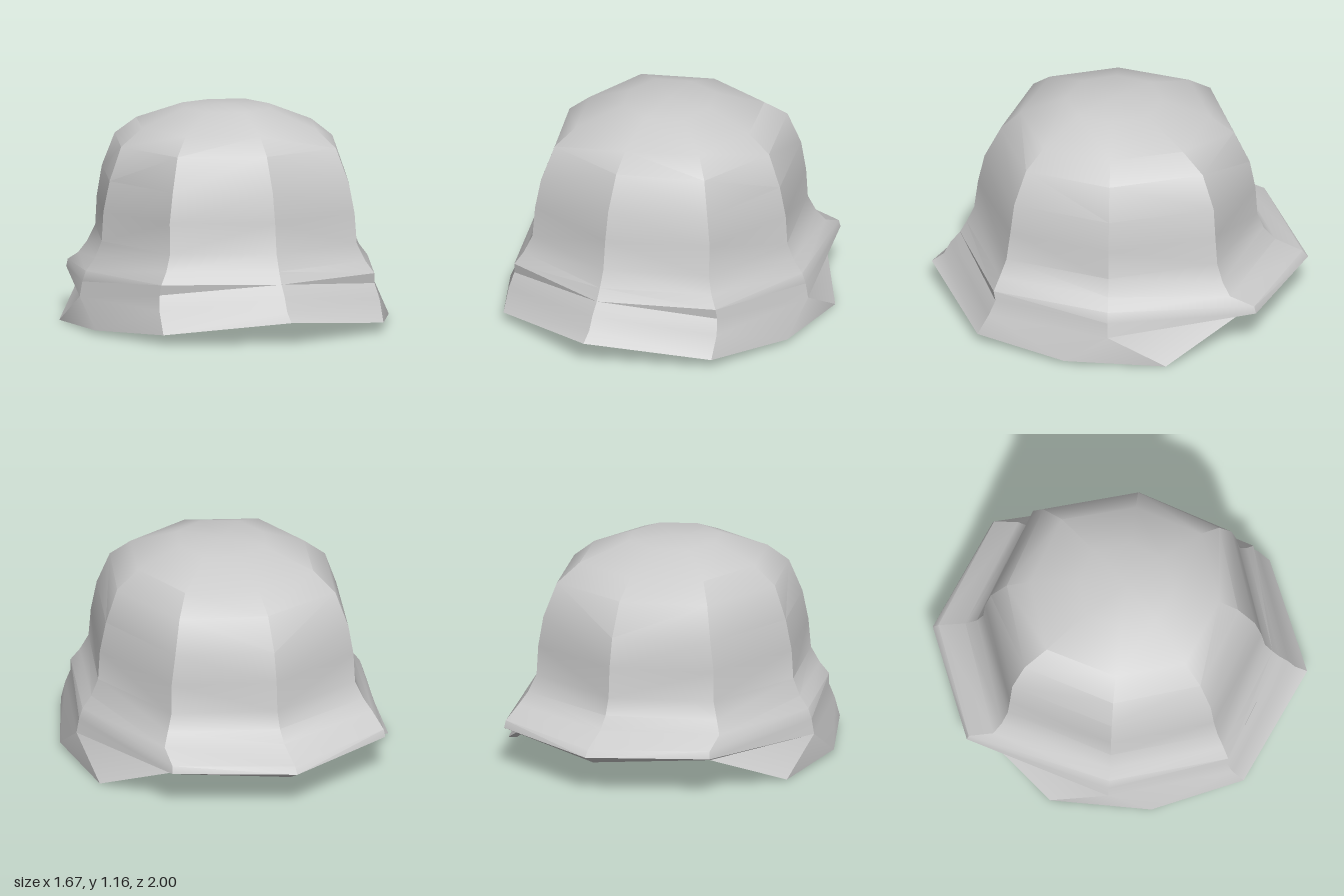
import * as THREE from 'three';
import { toCreasedNormals } from 'three/addons/utils/BufferGeometryUtils.js';

const WALL = 0.045;
// Shared heights of the rings, crown to rim
const HEIGHTS = [1.15, 1.055, 0.96, 0.78, 0.62, 0.46, 0.37, 0.305, 0.25, 0.17, 0.1];

// One rib of the shell: x and z for each ring, with replaced heights for the lower rings
function rib(xs, zs, low) {
  const start = HEIGHTS.length - low.length;
  return HEIGHTS.map((y, i) => new THREE.Vector3(xs[i], i < start ? y : low[i - start], zs[i]));
}

const zero = HEIGHTS.map(() => 0);
const sideX = [0.24, 0.48, 0.6, 0.665, 0.7, 0.71, 0.75, 0.8, 0.82, 0.835, 0.833];
const sideZ = (rimZ) => HEIGHTS.map((_, i) => (i === 10 ? rimZ : 0.03));

// Ribs from the front round the +x side to the back
const half = [
  rib(zero, [0.29, 0.53, 0.63, 0.72, 0.755, 0.775, 0.815, 0.85, 0.9, 0.935, 1], [0.24, 0.17, 0.12]),
  rib([0.18, 0.37, 0.45, 0.5, 0.525, 0.53, 0.565, 0.605, 0.61, 0.625, 0.625],
    [0.21, 0.39, 0.48, 0.54, 0.56, 0.58, 0.615, 0.645, 0.635, 0.67, 0.73], [0.05]),
  rib(sideX, sideZ(0.26), [0.02]),
  rib(sideX, sideZ(-0.28), [0]),
  rib([0.18, 0.37, 0.45, 0.5, 0.525, 0.53, 0.565, 0.6, 0.61, 0.615, 0.57],
    [-0.16, -0.35, -0.46, -0.52, -0.53, -0.54, -0.57, -0.61, -0.74, -0.75, -0.66], [0.25, 0.21, 0.175]),
  rib(zero, [-0.22, -0.48, -0.605, -0.69, -0.72, -0.73, -0.765, -0.825, -0.97, -1, -0.91], [0.235, 0.2, 0.15]),
];

// Adds the lining to a rib: crown, outside down to the rim, inside back up to the crown
function closeRib(outer) {
  const radius = (p) => Math.hypot(p.x, p.z);
  const rimRadius = radius(outer[10]);
  const inner = outer.map((p, i) => {
    const s = (Math.min(radius(p), rimRadius) - WALL) / radius(p);
    return new THREE.Vector3(p.x * s, p.y - (i < 3 ? 0.04 : 0), p.z * s);
  });
  return [new THREE.Vector3(0, 1.16, 0.03), ...outer, ...inner.reverse(), new THREE.Vector3(0, 1.12, 0.03)];
}

function shellGeometry() {
  const mirrored = half.slice(1, -1).reverse().map((r) => r.map((p) => new THREE.Vector3(-p.x, p.y, p.z)));
  const ribs = [...half, ...mirrored].map(closeRib);
  const positions = [];
  const triangle = (a, b, c) => {
    const area = b.clone().sub(a).cross(c.clone().sub(a)).length();
    if (area > 1e-6) for (const p of [a, b, c]) positions.push(p.x, p.y, p.z);
  };
  ribs.forEach((left, j) => {
    const right = ribs[(j + 1) % ribs.length];
    for (let i = 0; i < left.length - 1; i++) {
      const [a, b, c, d] = [left[i], left[i + 1], right[i + 1], right[i]];
      // The diagonal flips on the far half to keep both sides alike
      if (j < 5) { triangle(a, b, c); triangle(a, c, d); }
      else { triangle(a, b, d); triangle(b, c, d); }
    }
  });
  const geometry = new THREE.BufferGeometry();
  geometry.setAttribute('position', new THREE.Float32BufferAttribute(positions, 3));
  return toCreasedNormals(geometry, THREE.MathUtils.degToRad(33));
}

export function createModel() {
  const group = new THREE.Group();
  group.name = 'helmet';
  const shell = new THREE.Mesh(shellGeometry(), new THREE.MeshStandardMaterial({ color: 0xcccccc }));
  shell.name = 'helmetShell';
  group.add(shell);
  return group;
}
